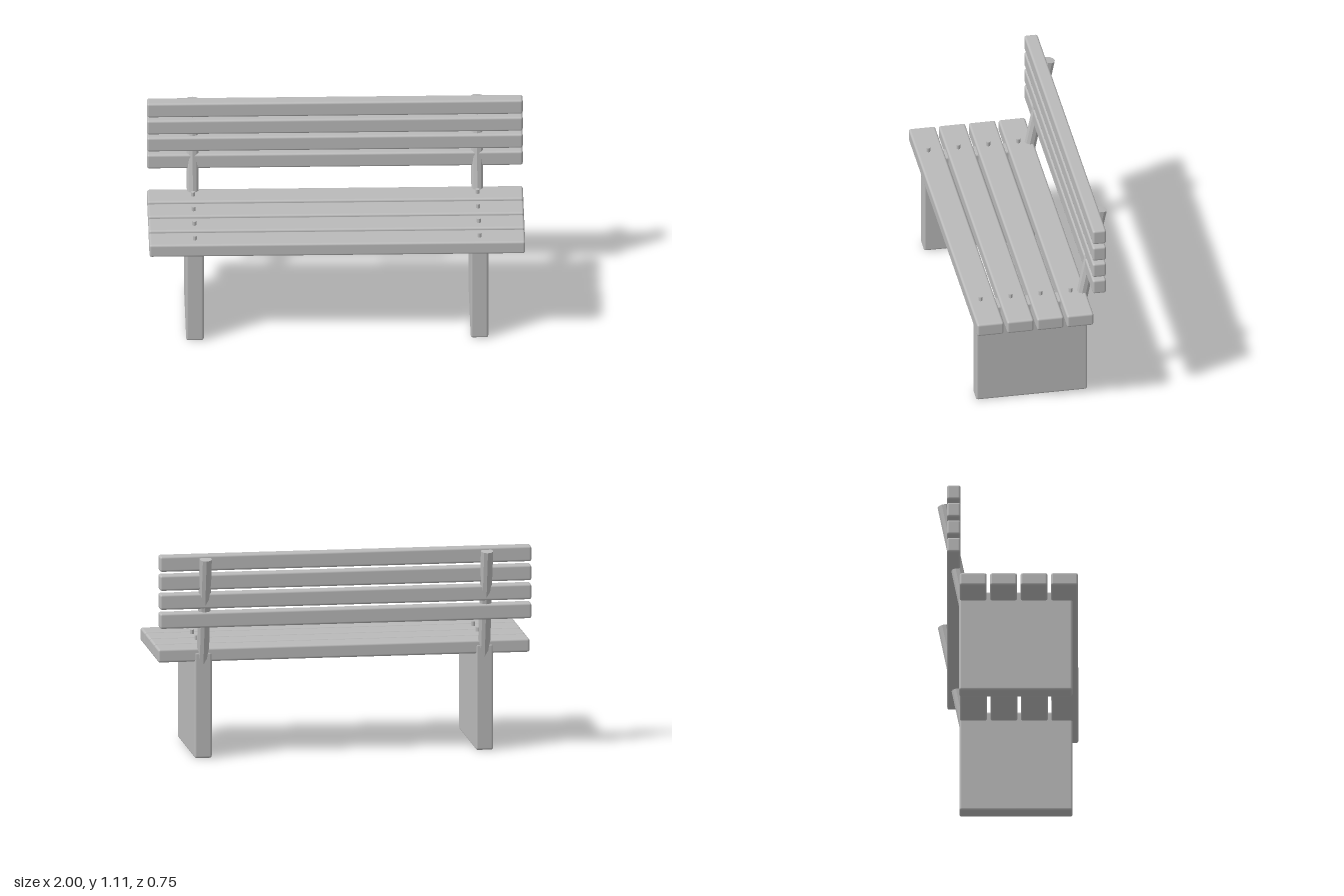
import * as THREE from 'three';
import { RoundedBoxGeometry } from 'three/addons/geometries/RoundedBoxGeometry.js';

export function createModel() {
  const bench = new THREE.Group();
  bench.name = 'bench';

  const grey = new THREE.MeshStandardMaterial({ color: 0xbababa });
  grey.name = 'grey';

  const add = (name, geometry, x, y, z) => {
    const mesh = new THREE.Mesh(geometry, grey);
    mesh.name = name;
    mesh.position.set(x, y, z);
    bench.add(mesh);
    return mesh;
  };

  // Planks with softly rounded edges
  const seatPlank = new RoundedBoxGeometry(2, 0.073, 0.144, 2, 0.012);
  const backPlank = new RoundedBoxGeometry(2, 0.084, 0.073, 2, 0.012);
  for (let i = 0; i < 4; i++) {
    add('seatPlank', seatPlank, 0, 0.56, 0.294 - i * 0.162);
    add('backPlank', backPlank, 0, 0.761 + i * 0.103, -0.2955);
  }

  // Faceted round post leaning backwards from the leg to the top plank
  const foot = new THREE.Vector3(0, 0.45, -0.222);
  const head = new THREE.Vector3(0, 1.095, -0.3355 - 0.0135);
  const lean = head.clone().sub(foot);
  const middle = foot.clone().add(head).multiplyScalar(0.5);
  const post = new THREE.CylinderGeometry(0.033, 0.033, lean.length(), 10).toNonIndexed();
  post.computeVertexNormals();

  const leg = new RoundedBoxGeometry(0.094, 0.575, 0.603, 2, 0.012);
  const bolt = new THREE.CylinderGeometry(0.011, 0.011, 0.04, 8).toNonIndexed();
  bolt.computeVertexNormals();

  // Slab leg, post and seat bolts on each side
  for (const side of [-1, 1]) {
    const x = side * 0.757;
    add('leg', leg, x, 0.2875, 0.0345);
    const backPost = add('backPost', post, x, middle.y, middle.z);
    backPost.rotation.x = Math.atan2(lean.z, lean.y);
    for (let i = 0; i < 4; i++) {
      add('bolt', bolt, x, 0.6, 0.304 - i * 0.1623);
    }
  }
  return bench;
}
